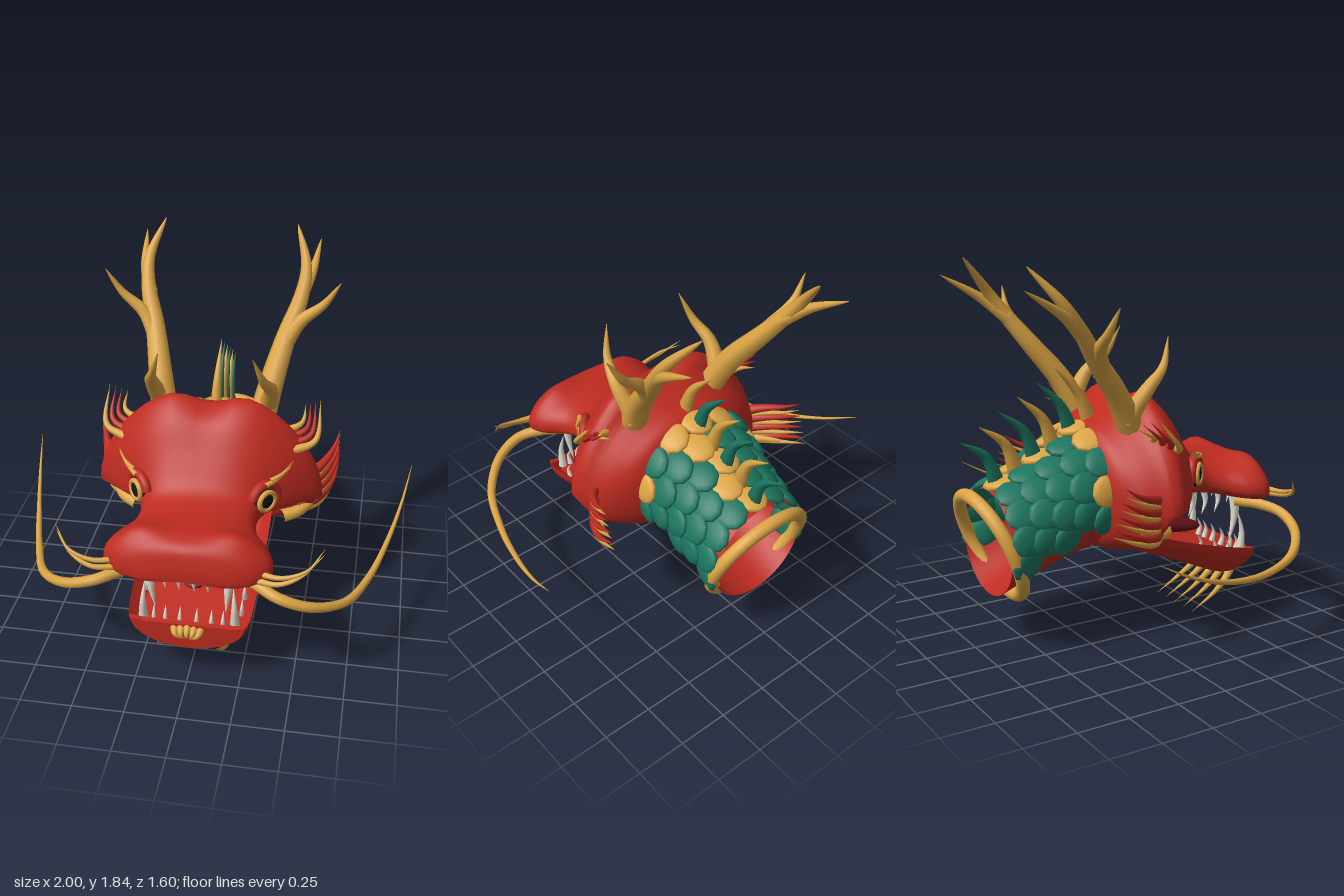
import * as THREE from 'three';
import { toCreasedNormals } from 'three/addons/utils/BufferGeometryUtils.js';

const mat = (name, color, side = THREE.FrontSide) => {
  const m = new THREE.MeshStandardMaterial({ color, side });
  m.name = name;
  return m;
};

export function createModel() {
  const red = mat('red lacquer', 0xbd2b20, THREE.DoubleSide);
  const gold = mat('gold', 0xdca545);
  const green = mat('green', 0x1c7660);
  const ivory = mat('ivory', 0xe6dfd0);
  const maroon = mat('mouth maroon', 0x64141a);
  const black = mat('eye black', 0x15171c);

  const model = new THREE.Group();
  model.name = 'dragonHead';
  const V = (x, y, z) => new THREE.Vector3(x, y, z);
  const add = (name, geo, material, parent = model) => {
    const m = new THREE.Mesh(geo, material);
    m.name = name;
    parent.add(m);
    return m;
  };
  const sides = (fn) => [1, -1].forEach((s) => fn(s, s > 0 ? 'left' : 'right'));

  // Smooth interpolation through rows of section values
  const sample = (rows, t) => {
    const f = t * (rows.length - 1), i = Math.min(Math.floor(f), rows.length - 2), u = f - i;
    const at = (k) => rows[Math.max(0, Math.min(rows.length - 1, k))];
    return rows[i].map((b, k) => {
      const a = at(i - 1)[k], c = at(i + 1)[k], d = at(i + 2)[k];
      return b + 0.5 * u * (c - a + u * (2 * a - 5 * b + 4 * c - d + u * (3 * (b - c) + d - a)));
    });
  };

  // Skin of cross-sections running from front to back
  const loft = (rows, steps, profile, caps = [true, true], crease = 0.8) => {
    const N = 48, pos = [], idx = [];
    for (let i = 0; i <= steps; i++) {
      const sec = sample(rows, i / steps);
      for (let j = 0; j < N; j++) pos.push(...profile(sec, (j / N) * Math.PI * 2), sec[0]);
    }
    for (let i = 0; i < steps; i++) for (let j = 0; j < N; j++) {
      const k = (j + 1) % N, a = i * N + j, b = i * N + k, c = a + N, d = b + N;
      idx.push(a, c, b, b, c, d);
    }
    [0, steps].forEach((i, e) => {
      if (!caps[e]) return;
      const sec = rows[e ? rows.length - 1 : 0], n = pos.length / 3;
      pos.push(0, (sec[2] + sec[3]) / 2, sec[0]);
      for (let j = 0; j < N; j++) {
        const a = i * N + j, b = i * N + (j + 1) % N;
        idx.push(n, e ? b : a, e ? a : b);
      }
    });
    const g = new THREE.BufferGeometry();
    g.setAttribute('position', new THREE.Float32BufferAttribute(pos, 3));
    g.setIndex(idx);
    return toCreasedNormals(g, crease);
  };

  // Tapering curved spike; thin squeezes it sideways in x
  const spike = (name, pts, r, material, { tip = 0.04, power = 1, thin = 1, parent = model, seg = 20 } = {}) => {
    const curve = new THREE.CatmullRomCurve3(pts.map((p) => V(...p)));
    const R = 8, g = new THREE.TubeGeometry(curve, seg, r, R), p = g.attributes.position;
    for (let i = 0; i <= seg; i++) {
      const c = curve.getPointAt(i / seg), k = Math.max(tip, Math.pow(1 - i / seg, power));
      for (let j = 0; j <= R; j++) {
        const n = i * (R + 1) + j, v = V().fromBufferAttribute(p, n).sub(c).multiplyScalar(k);
        p.setXYZ(n, c.x + v.x * thin, c.y + v.y, c.z + v.z);
      }
    }
    return add(name, g, material, parent);
  };

  const pow = (v, e) => Math.sign(v) * Math.pow(Math.abs(v), e);

  // Upper head: z, half width, bottom, top, widest height, crown dip, lip arch, roundness
  const headRows = [
    [0.80, 0.21, 0.61, 0.69, 0.635, 0, 0.02, 0.9],
    [0.77, 0.315, 0.595, 0.78, 0.645, 0, 0.06, 0.9],
    [0.70, 0.39, 0.59, 0.825, 0.66, 0.01, 0.07, 0.9],
    [0.61, 0.375, 0.605, 0.82, 0.67, 0, 0.06, 0.9],
    [0.50, 0.30, 0.63, 0.825, 0.69, 0, 0.04, 0.9],
    [0.39, 0.28, 0.645, 0.865, 0.72, 0, 0.02, 0.9],
    [0.29, 0.33, 0.66, 1.00, 0.74, 0.02, 0, 0.95],
    [0.19, 0.45, 0.68, 1.165, 0.72, 0.06, 0, 1.05],
    [0.09, 0.55, 0.67, 1.255, 0.69, 0.10, 0, 1.12],
    [0.03, 0.56, 0.62, 1.23, 0.69, 0.08, 0, 1.12],
    [-0.02, 0.535, 0.46, 1.16, 0.69, 0.03, 0, 1.1],
    [-0.10, 0.48, 0.44, 1.095, 0.70, 0.01, 0, 1.05],
    [-0.17, 0.39, 0.46, 1.05, 0.74, 0, 0, 1],
    [-0.21, 0.31, 0.52, 0.99, 0.74, 0, 0, 1]];
  add('upperHead', loft(headRows, 78, ([z, w, yb, yt, ym, dip, arch, round], t) => {
    const s = Math.sin(t), e = s > 0 ? round : 0.8, x = w * pow(Math.cos(t), e), h = pow(s, e);
    const bump = Math.exp(-((x / 0.13) ** 2));
    const nostril = 0.035 * Math.exp(-(((Math.abs(x) - 0.24) / 0.1) ** 2) - ((z - 0.68) / 0.07) ** 2);
    return [x, s > 0 ? ym + (yt - ym) * h + (nostril - dip * bump) * s : ym + (ym - yb) * h - arch * bump * s];
  }), red);

  // Lower jaw: trough with a sunken floor
  const jawRows = [
    [0.72, 0.27, 0.19, 0.335], [0.69, 0.285, 0.17, 0.34], [0.62, 0.295, 0.155, 0.355], [0.42, 0.305, 0.24, 0.405],
    [0.2, 0.31, 0.33, 0.47], [0.0, 0.31, 0.415, 0.55], [-0.1, 0.28, 0.45, 0.6]];
  add('lowerJaw', loft(jawRows, 40, ([z, w, yb, yt], t) => {
    const x = w * Math.cos(t), s = Math.sin(t);
    const deep = z > 0.69 ? 0.01 : 0.07;
    return [x, s < 0 ? yt + (yt - yb) * s : yt - deep * Math.min(1, Math.max(0, (1 - Math.abs(x) / w) * 5))];
  }), red);

  // Mouth inside
  const tongue = add('tongue', new THREE.SphereGeometry(1, 24, 16), maroon);
  tongue.scale.set(0.12, 0.045, 0.31);
  tongue.position.set(0, 0.475, 0.25);
  tongue.rotation.x = 0.2;
  const throat = add('throat', new THREE.SphereGeometry(1, 20, 14), maroon);
  throat.scale.set(0.2, 0.09, 0.06);
  throat.position.set(0, 0.58, 0.02);

  // Neck: open tube and its end ring
  const neckRows = [[-0.05, 0.32, 0.45, 1.05], [-0.15, 0.325, 0.44, 1.04], [-0.36, 0.295, 0.39, 0.92], [-0.67, 0.272, 0.265, 0.78]];
  add('neck', loft(neckRows, 24, ([, w, yb, yt], t) =>
    [w * Math.cos(t), (yb + yt) / 2 + ((yt - yb) / 2) * Math.sin(t)], [false, false]), red);
  const ring = add('neckRing', new THREE.TorusGeometry(0.272, 0.033, 14, 56), gold);
  ring.position.set(0, 0.505, -0.655);
  ring.rotation.x = -0.374;

  // Overlapping neck scales
  const scaleGeo = new THREE.SphereGeometry(1, 10, 8);
  const d = V(0, -0.42, -1).normalize();
  for (let row = 0; row < 5; row++) {
    const shift = row % 2 ? 0.5 : 0;
    for (let j = -4; j <= 4 - (shift ? 1 : 0); j++) {
      const a = (j + shift) * 0.46, z = -0.19 - row * 0.1;
      const [, w, yb, yt] = sample(neckRows, z > -0.36 ? (1 + (-0.15 - z) / 0.21) / 3 : (2 + (-0.36 - z) / 0.31) / 3);
      const h = (yt - yb) / 2, n = V(Math.sin(a) / w, Math.cos(a) / h, 0);
      n.addScaledVector(d, -n.dot(d)).normalize();
      const back = d.clone().addScaledVector(n, 0.2).normalize();
      const up = n.clone().addScaledVector(back, -n.dot(back)).normalize();
      const isGold = (row === 0 && j % 2 !== 0) || j === 0;
      const m = add('neckScale', scaleGeo, isGold ? gold : green);
      m.quaternion.setFromRotationMatrix(new THREE.Matrix4().makeBasis(up.clone().cross(back), up, back));
      m.scale.set(0.082, 0.03, 0.095);
      m.position.set(w * Math.sin(a), (yb + yt) / 2 + h * Math.cos(a), z);
    }
  }

  // Row of spines along the neck, alternating gold and green
  for (let i = 0; i < 6; i++) {
    const z = -0.11 - i * 0.1, y = 1.07 - i * 0.05, ty = 1.33 - i * 0.061;
    spike('spine', [[0, y - 0.03, z], [0, y + 0.12, z - 0.06], [0, ty, z - 0.19]], 0.045,
      i % 2 ? green : gold, { thin: 0.65, power: 0.85 });
  }

  sides((s, side) => {
    const m = (pts) => pts.map(([x, y, z]) => [x * s, y, z]);

    // Antler with three tines
    const antler = new THREE.Group();
    antler.name = side + 'Antler';
    model.add(antler);
    const tine = (name, pts, r, power = 0.7) => spike(name, m(pts), r, gold, { parent: antler, power, seg: 28 });
    tine('antlerBeam', [[0.24, 1.04, -0.02], [0.28, 1.22, -0.12], [0.33, 1.4, -0.26], [0.385, 1.56, -0.38], [0.395, 1.68, -0.47], [0.335, 1.84, -0.61]], 0.068, 0.6);
    tine('rearTine', [[0.37, 1.53, -0.36], [0.42, 1.63, -0.48], [0.45, 1.75, -0.68]], 0.036);
    tine('outerTine', [[0.31, 1.34, -0.22], [0.39, 1.46, -0.28], [0.5, 1.55, -0.3], [0.58, 1.67, -0.29]], 0.046);
    tine('browTine', [[0.26, 1.08, -0.07], [0.29, 1.24, 0.04], [0.265, 1.33, 0.14], [0.22, 1.47, 0.2]], 0.052, 0.8);

    // Dark eye with gold iris under a heavy lid
    const eye = new THREE.Group();
    eye.name = side + 'Eye';
    model.add(eye);
    eye.position.set(0.295 * s, 0.795, 0.305);
    eye.lookAt(1.045 * s, 0.815, 0.3 + 0.66);
    add('eyeball', new THREE.SphereGeometry(0.07, 24, 16), black, eye).scale.z = 0.6;
    const iris = add('iris', new THREE.TorusGeometry(0.046, 0.013, 10, 28), gold, eye);
    iris.position.z = 0.03;
    const lid = add('eyelid', new THREE.TorusGeometry(0.08, 0.024, 10, 24, Math.PI), red, eye);
    lid.position.z = 0.01;
    lid.rotation.z = -0.3 * s;
    for (let i = 0; i < 2; i++)
      spike('eyebrow', m([[0.31 + i * 0.02, 0.885 + i * 0.012, 0.335 - i * 0.03], [0.37 + i * 0.01, 0.9 + i * 0.015, 0.27 - i * 0.01], [0.425, 0.935 + i * 0.02, 0.2]]), 0.014, gold);

    // Temple tufts
    [gold, red, red, gold].forEach((c, i) =>
      spike('templeTuft', m([[0.4 - i * 0.02, 0.96 + i * 0.016, 0.12 - i * 0.03], [0.515 - i * 0.025, 1.0 + i * 0.014, 0.07 - i * 0.03],
        [0.525 - i * 0.025, 1.155 - i * 0.02, -0.06 - i * 0.02]]), 0.025, c));

    // Cheek fan
    for (let i = 0; i < 8; i++)
      spike('cheekFin', m([[0.43, 0.56 + i * 0.025, 0.02], [0.54, 0.565 + i * 0.03, -0.08],
        [0.59 + (i % 2) * 0.01, 0.6 + i * 0.032, -0.2], [0.62, 0.665 + i * 0.03, -0.35 + i * 0.01]]),
      i % 2 ? 0.034 : 0.026, i % 2 ? red : gold, { power: 0.8 });
    spike('jawCurl', m([[0.37, 0.565, 0.09], [0.45, 0.575, 0.04], [0.52, 0.59, -0.08], [0.57, 0.64, -0.24]]), 0.034, gold, { power: 0.6 });

    // Long whisker and short nose whiskers
    spike('longWhisker', m([[0.22, 0.59, 0.63], [0.32, 0.585, 0.7], [0.43, 0.56, 0.755], [0.57, 0.51, 0.73], [0.72, 0.45, 0.59], [0.82, 0.425, 0.35],
      [0.9, 0.465, 0.08], [0.96, 0.55, -0.16], [1.0, 0.655, -0.36]]), 0.03, gold, { power: 0.7, seg: 60 });
    for (let i = 0; i < 2; i++)
      spike('noseWhisker', m([[0.31, 0.64 + i * 0.03, 0.74 - i * 0.02], [0.43, 0.65 + i * 0.02, 0.77 - i * 0.02], [0.54, 0.695 + i * 0.01, 0.735], [0.62, 0.785 - i * 0.03, 0.66]]),
        0.016, gold, { power: 0.7 });

    // Teeth
    const tooth = (name, x, z, y0, y1, r, lean = 0) =>
      spike(name, m([[x, y0, z], [x + lean * 0.3, (y0 + y1) / 2, z + 0.012], [x + lean, y1, z - 0.01]]), r, ivory, { seg: 10, power: 0.8 });
    tooth('upperFang', 0.19, 0.64, 0.65, 0.35, 0.034, -0.02);
    tooth('lowerFang', 0.22, 0.665, 0.31, 0.52, 0.024, -0.01);
    [0.035, 0.1].forEach((x) => tooth('upperFrontTooth', x, 0.72, 0.68, 0.52, 0.022));
    [0.52, 0.44, 0.36, 0.28].forEach((z) => tooth('upperSideTooth', 0.2, z, 0.67, 0.54, 0.02));
    [0.04, 0.11, 0.165].forEach((x) => tooth('lowerFrontTooth', x, 0.675, 0.29, 0.39, 0.016));
    [0.57, 0.48, 0.39].forEach((z) => tooth('lowerSideTooth', 0.24, z, 0.49 - z * 0.33, 0.58 - z * 0.33, 0.014));
  });

  // Chin beard and the small tuft on the lower lip
  for (let i = -2; i <= 2; i++) {
    const x = i * 0.08;
    spike('chinBeard', [[x * 0.85, 0.2, 0.68], [x * 0.92, 0.14, 0.63], [x, 0.075, 0.54], [x * 1.02, 0.005, 0.41]], 0.024, gold);
    spike('lipTuft', [[x * 0.4, 0.31 - Math.abs(i) * 0.004, 0.705], [x * 0.34, 0.28, 0.738], [x * 0.12, 0.24, 0.72]], 0.022, gold, { seg: 8 });
  }

  return model;
}
